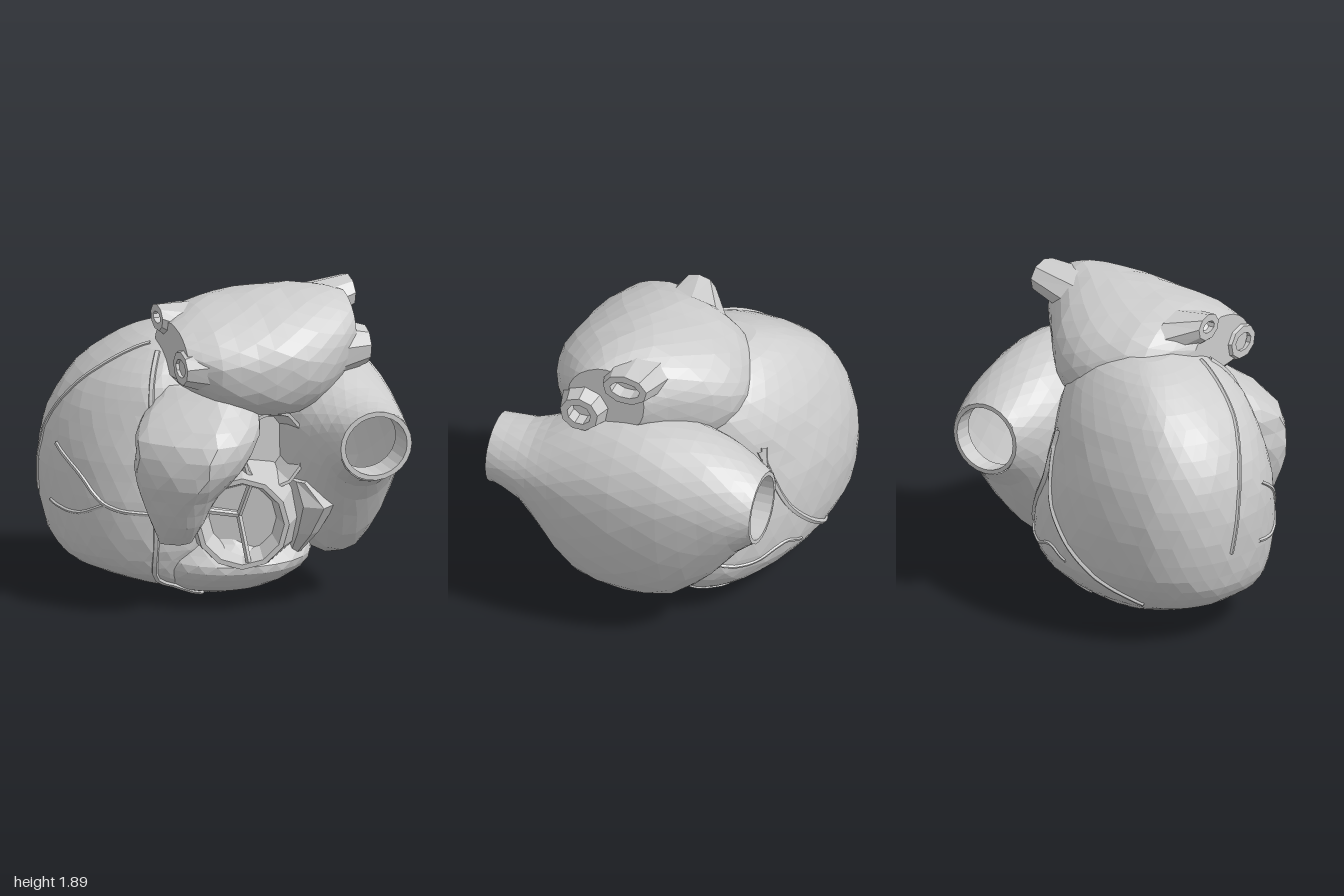
import * as THREE from 'three';

const material = new THREE.MeshStandardMaterial({ color: 0xcccccc, flatShading: true, side: THREE.DoubleSide });

// repeatable value in -0.5..0.5 for the uneven facets
const hash = (n) => { const s = Math.sin(n * 12.9898) * 43758.5453; return s - Math.floor(s) - 0.5; };

// puts (along, a, b) on the axes in cyclic order
const place = {
  x: (t, a, b) => [t, a, b],
  y: (t, a, b) => [b, t, a],
  z: (t, a, b) => [a, b, t],
};

// Skin through sections [along, aMin, aMax, bMin, bMax]; powers shape the four quadrants,
// midB gives the b value where the sections are widest
function loft(axis, sections, { rings = 1, sides = 24, powers = [2, 2, 2, 2], midB = null, cap0 = false, cap1 = false, wobble = 0 } = {}) {
  const sample = (u, k) => {
    const i = Math.min(Math.floor(u), sections.length - 2), f = u - i;
    const p = (j) => sections[Math.max(0, Math.min(sections.length - 1, j))][k];
    if (rings === 1) return p(i) + (p(i + 1) - p(i)) * f;
    const m0 = (p(i + 1) - p(i - 1)) / 2, m1 = (p(i + 2) - p(i)) / 2;
    const f2 = f * f, f3 = f2 * f;
    return p(i) * (2 * f3 - 3 * f2 + 1) + m0 * (f3 - 2 * f2 + f) + p(i + 1) * (3 * f2 - 2 * f3) + m1 * (f3 - f2);
  };
  const count = (sections.length - 1) * rings, pos = [], index = [];
  for (let i = 0; i <= count; i++) {
    const [t, a0, a1, b0, b1] = [0, 1, 2, 3, 4].map((k) => sample(i / rings, k));
    const ca = (a0 + a1) / 2;
    const cb = midB === null ? (b0 + b1) / 2 : THREE.MathUtils.clamp(midB, b0 + 0.3 * (b1 - b0), b1 - 0.3 * (b1 - b0));
    for (let j = 0; j < sides; j++) {
      const ang = ((j + (rings > 1 ? (i % 2) / 2 : 0)) / sides) * Math.PI * 2;
      const c = Math.cos(ang), s = Math.sin(ang);
      const e = 2 / powers[s >= 0 ? (c >= 0 ? 0 : 1) : (c < 0 ? 2 : 3)];
      const k = 1 + wobble * hash(i * sides + j + 1);
      const a = Math.sign(c) * Math.abs(c) ** e * (c > 0 ? a1 - ca : ca - a0) * k;
      const b = Math.sign(s) * Math.abs(s) ** e * (s > 0 ? b1 - cb : cb - b0) * k;
      pos.push(...place[axis](t, ca + a, cb + b));
    }
  }
  for (let i = 0; i < count; i++) {
    for (let j = 0; j < sides; j++) {
      const n = (j + 1) % sides, p = i * sides, q = p + sides;
      if (i % 2) index.push(p + j, p + n, q + n, p + j, q + n, q + j);
      else index.push(p + j, p + n, q + j, p + n, q + n, q + j);
    }
  }
  const cap = (i, flip) => {
    const [t, a0, a1, b0, b1] = sections[i ? sections.length - 1 : 0];
    const c = pos.length / 3, p = i * sides;
    pos.push(...place[axis](t, (a0 + a1) / 2, (b0 + b1) / 2));
    for (let j = 0; j < sides; j++) {
      const n = (j + 1) % sides;
      index.push(c, p + (flip ? n : j), p + (flip ? j : n));
    }
  };
  if (cap0) cap(0, true);
  if (cap1) cap(count, false);
  const g = new THREE.BufferGeometry();
  g.setAttribute('position', new THREE.Float32BufferAttribute(pos, 3));
  g.setIndex(index);
  g.computeVertexNormals();
  return g;
}

// Thick-walled open mouth: outer wall from its root, flat rim, inner wall and a floor
function mouth(axis, root, end, rootBox, [a0, a1, b0, b1], { wall = 0.03, depth = 0.2, floor = true, taper = 0, sides = 12 } = {}) {
  const w = wall, v = wall + taper;
  return loft(axis, [
    [root, ...rootBox],
    [end, a0, a1, b0, b1],
    [end, a0 + w, a1 - w, b0 + w, b1 - w],
    [end - Math.sign(end - root) * depth, a0 + v, a1 - v, b0 + v, b1 - v],
  ], { sides, cap1: floor });
}

export function createModel() {
  const model = new THREE.Group();
  const add = (name, geometry, parent = model) => {
    const mesh = new THREE.Mesh(geometry, material);
    mesh.name = name;
    parent.add(mesh);
    return mesh;
  };

  // Main ventricular mass, with the apex low at the back
  const ventricles = add('ventricles', loft('y', [
    [0.01, -0.2, -0.04, -0.14, 0.02],
    [0.08, -0.47, 0.16, -0.4, 0.24],
    [0.16, -0.62, 0.24, -0.68, 0.4],
    [0.26, -0.75, 0.29, -0.88, 0.5],
    [0.45, -0.87, 0.34, -0.97, 0.54],
    [0.8, -0.91, 0.34, -1.0, 0.45],
    [1.1, -0.85, 0.28, -0.94, 0.38],
    [1.35, -0.73, 0.22, -0.78, 0.34],
    [1.54, -0.55, 0.1, -0.53, 0.2],
    [1.62, -0.38, -0.1, -0.33, 0.0],
  ], { rings: 3, sides: 34, midB: -0.43, powers: [2.1, 1.92, 2.35, 1.85], cap0: true, cap1: true, wobble: 0.015 }));

  // Right ventricle swelling forward under the valve
  const outflow = add('rightVentricleFront', loft('y', [
    [0.02, -0.1, 0.06, -0.14, 0.04],
    [0.1, -0.2, 0.34, -0.36, 0.28],
    [0.2, -0.3, 0.5, -0.44, 0.44],
    [0.29, -0.3, 0.54, -0.44, 0.49],
    [0.4, -0.3, 0.42, -0.4, 0.5],
    [0.6, -0.3, 0.3, -0.36, 0.44],
  ], { rings: 2, sides: 24, cap0: true, cap1: true, wobble: 0.02 }));

  // Right atrium running front to back, open at both great veins
  add('rightAtrium', loft('z', [
    [-0.75, 0.41, 0.86, 0.83, 1.27],
    [-0.62, 0.34, 0.91, 0.72, 1.35],
    [-0.45, 0.28, 0.95, 0.5, 1.43],
    [-0.2, 0.24, 0.99, 0.28, 1.49],
    [0.1, 0.24, 1.0, 0.24, 1.5],
    [0.4, 0.26, 0.97, 0.3, 1.43],
    [0.58, 0.34, 0.94, 0.55, 1.34],
    [0.72, 0.39, 0.91, 0.77, 1.29],
    [0.92, 0.41, 0.86, 0.86, 1.28],
  ], { rings: 2, sides: 24, midB: 1.07, powers: [2, 2, 2.2, 1.8], wobble: 0.015 }));
  const frontVein = [0.41, 0.86, 0.86, 1.28], backVein = [0.41, 0.86, 0.83, 1.27];
  add('frontVeinMouth', mouth('z', 0.8, 0.92, frontVein, frontVein, { floor: false, depth: 0.2, sides: 24 }));
  add('backVeinMouth', mouth('z', -0.7, -0.75, backVein, backVein, { floor: false, wall: 0.025, depth: 0.12, sides: 24 }));

  // Left atrium lying across the top
  add('leftAtrium', loft('x', [
    [-0.4, 1.42, 1.74, -0.06, 0.5],
    [-0.22, 1.25, 1.82, -0.36, 0.61],
    [0.0, 1.16, 1.86, -0.45, 0.66],
    [0.2, 1.14, 1.88, -0.47, 0.68],
    [0.4, 1.18, 1.89, -0.36, 0.64],
    [0.58, 1.32, 1.88, -0.14, 0.54],
    [0.68, 1.43, 1.85, -0.02, 0.46],
  ], { rings: 2, sides: 24, powers: [1.8, 2.6, 2.6, 1.8], cap0: true, cap1: true, wobble: 0.025 }));

  // Four pulmonary veins flaring out of it: root x, end x, root box, end box (y then z)
  [
    [0.45, 0.77, [1.58, 1.86, -0.13, 0.3], [1.7, 1.9, -0.07, 0.21]],
    [0.45, 0.77, [1.32, 1.76, 0.12, 0.56], [1.43, 1.66, 0.24, 0.48]],
    [-0.22, -0.43, [1.5, 1.81, -0.22, 0.25], [1.66, 1.82, -0.06, 0.15]],
    [-0.22, -0.42, [1.34, 1.7, 0.2, 0.59], [1.42, 1.62, 0.3, 0.55]],
  ].forEach(([x0, x1, root, end]) => add('pulmonaryVein', mouth('x', x0, x1, root, end, { wall: 0.045, depth: 0.1, sides: 9 })));

  // Left auricle hanging over the front
  add('leftAuricle', loft('y', [
    [0.45, 0.32, 0.48, -0.54, -0.34],
    [0.58, 0.28, 0.6, -0.6, -0.29],
    [0.75, 0.2, 0.7, -0.67, -0.2],
    [0.92, 0.12, 0.79, -0.7, -0.04],
    [1.1, 0.06, 0.77, -0.68, 0.06],
    [1.24, 0.0, 0.62, -0.56, 0.1],
    [1.36, -0.05, 0.45, -0.42, 0.08],
  ], { rings: 2, sides: 16, powers: [1.9, 2, 2, 1.3], cap0: true, cap1: true, wobble: 0.05 }));

  // Right auricle: a small pointed flap beside the atrium
  add('rightAuricle', loft('y', [
    [0.32, 0.3, 0.42, 0.28, 0.36],
    [0.46, 0.3, 0.56, 0.27, 0.44],
    [0.64, 0.25, 0.66, 0.27, 0.53],
    [0.78, 0.3, 0.56, 0.27, 0.36],
  ], { sides: 7, cap0: true, cap1: true }));

  // Pulmonary valve, turned toward its own side, with three cusps meeting inside its ring
  const valve = new THREE.Group();
  valve.name = 'pulmonaryValve';
  valve.position.set(-0.08, 0.565, 0.56);
  valve.rotation.y = -0.37;
  model.add(valve);
  add('valveRing', mouth('z', -0.36, 0, [-0.36, 0.36, -0.36, 0.34], [-0.28, 0.28, -0.28, 0.28], { depth: 0.16, taper: 0.05 }), valve);
  const meet = new THREE.Vector3(-0.02, 0.04, -0.07);
  [[0.05, 0.25], [-0.24, 0.08], [0.04, -0.25]].forEach(([x, y]) => {
    const rim = new THREE.Vector3(x, y, -0.02), foot = new THREE.Vector3(x * 0.8, y * 0.8, -0.16);
    add('cuspEdge', new THREE.TubeGeometry(new THREE.LineCurve3(meet, rim), 1, 0.018, 5), valve);
    const wall = new THREE.BufferGeometry().setFromPoints([
      meet, rim, foot, meet, foot, new THREE.Vector3(meet.x, meet.y, -0.16)]);
    wall.computeVertexNormals();
    add('cuspWall', wall, valve);
  });

  // Aortic opening
  add('aorticOpening', mouth('z', 0.1, 0.5, [-0.1, 0.38, 0.7, 1.26], [-0.06, 0.35, 0.74, 1.23], { wall: 0.02, depth: 0.2, taper: 0.05 }));

  // Coronary vessels laid on the ventricles by projecting paths onto them
  model.updateMatrixWorld(true);
  const centre = new THREE.Vector3(-0.22, 0.75, -0.12);
  const ray = new THREE.Raycaster();
  const onSurface = (p) => {
    const out = p.clone().sub(centre).normalize();
    ray.set(centre.clone().addScaledVector(out, 3), out.clone().negate());
    return ray.intersectObjects([ventricles, outflow])[0].point;
  };
  const vessels = new THREE.Group();
  vessels.name = 'coronaryVessels';
  model.add(vessels);
  [
    [0.025, [0.55, 0.25, 0], [0.55, 0.35, -0.3], [0.48, 0.6, -0.5], [0.35, 0.85, -0.68], [0.25, 1.2, -0.65]],
    [0.018, [0.3, 1.2, -0.65], [0.2, 0.75, -0.78], [-0.15, 0.4, -0.85], [-0.5, 0.22, -0.75]],
    [0.012, [0.5, 0.45, -0.4], [0.38, 0.4, -0.58], [0.2, 0.46, -0.75], [0.05, 0.4, -0.8]],
    [0.012, [0.5, 0.25, -0.2], [0.3, 0.14, -0.4], [0.05, 0.12, -0.5]],
    [0.02, [-0.42, 1.5, 0.05], [-0.52, 1.2, 0.22], [-0.55, 0.8, 0.35], [-0.52, 0.45, 0.3], [-0.46, 0.2, 0.2], [-0.2, 0.1, 0.2]],
    [0.014, [-0.55, 0.6, 0.35], [-0.75, 0.66, 0.15], [-0.87, 0.82, 0], [-0.95, 0.95, -0.2]],
    [0.012, [-0.75, 0.66, 0.15], [-0.9, 0.58, 0], [-0.98, 0.6, -0.25]],
    [0.014, [-0.42, 1.5, -0.05], [-0.72, 1.3, -0.2], [-0.92, 1.0, -0.4], [-0.95, 0.6, -0.5]],
  ].forEach(([r, ...pts]) => {
    const path = new THREE.CatmullRomCurve3(pts.map((p) => new THREE.Vector3(...p)));
    const laid = new THREE.CatmullRomCurve3(path.getPoints(18).map(onSurface));
    add('vessel', new THREE.TubeGeometry(laid, 28, r, 5), vessels);
  });

  return model;
}
